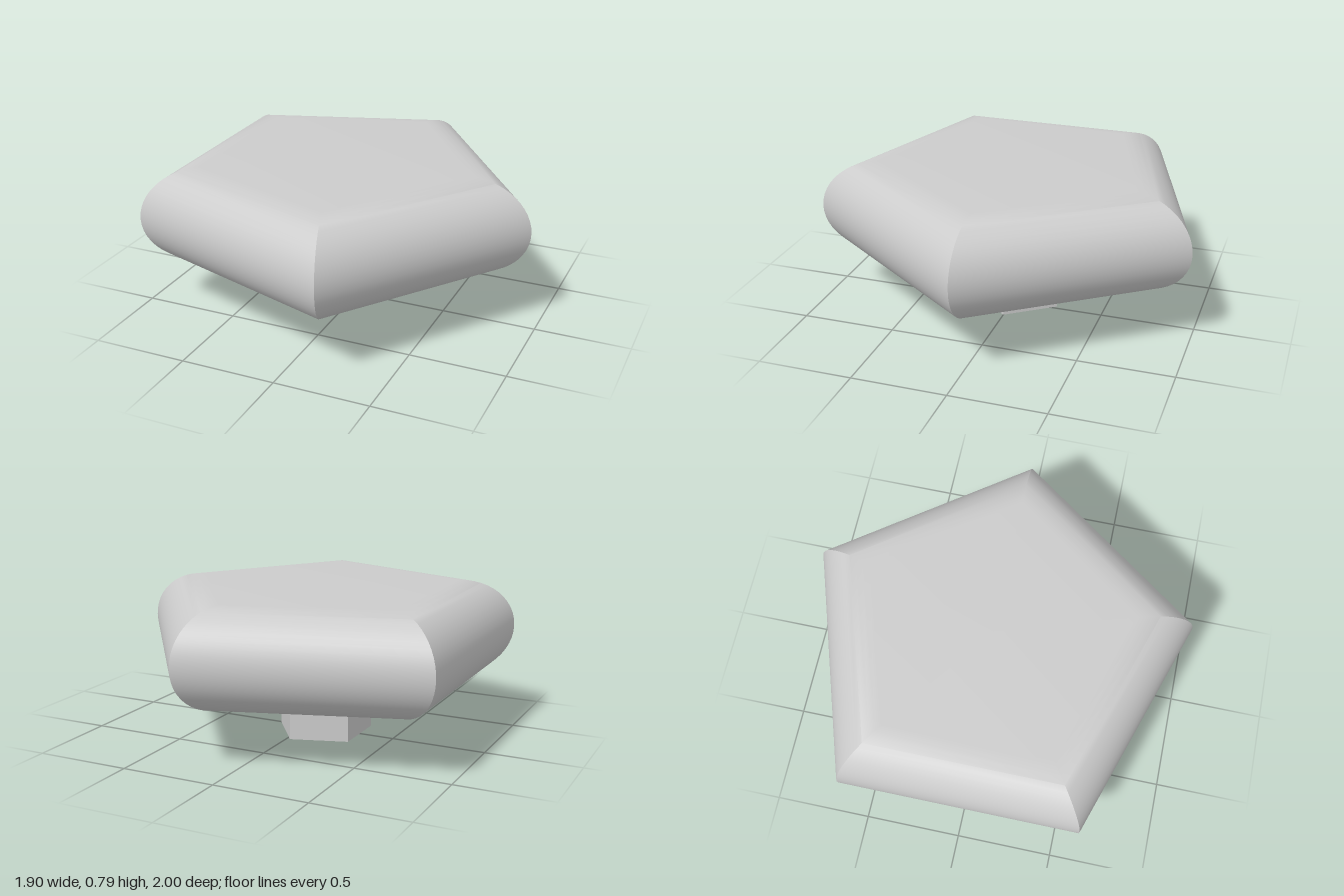
import * as THREE from 'three';
import { toCreasedNormals } from 'three/addons/utils/BufferGeometryUtils.js';

const SIDES = 5;
const CENTRE_X = -0.1;

// Five-sided lathe with one corner pointing to +x; corners stay sharp, curves smooth
function pentagonLathe(name, points, material) {
  const lathe = new THREE.LatheGeometry(points, SIDES, Math.PI / 2);
  const mesh = new THREE.Mesh(toCreasedNormals(lathe, 0.5), material);
  mesh.name = name;
  mesh.position.x = CENTRE_X;
  return mesh;
}

export function createModel() {
  const group = new THREE.Group();
  group.name = 'pentagonKnob';
  const material = new THREE.MeshStandardMaterial({ color: 0xcccccc, side: THREE.DoubleSide });

  const stemRadius = 0.26;
  const half = 0.26; // half thickness of the cap
  const midY = 0.53;
  const rim = half / Math.cos(Math.PI / SIDES); // rim depth measured at a corner
  const flatRadius = 1.05 - rim;

  // Cap: underside with the stem opening, half-round rim, closed flat top
  const capProfile = [new THREE.Vector2(stemRadius, midY - half)];
  const steps = 24;
  for (let i = 0; i <= steps; i++) {
    const a = -Math.PI / 2 + (Math.PI * i) / steps;
    capProfile.push(new THREE.Vector2(flatRadius + rim * Math.cos(a), midY + half * Math.sin(a)));
  }
  capProfile.push(new THREE.Vector2(0, midY + half));
  group.add(pentagonLathe('cap', capProfile, material));

  // Stem: hollow tube, open at the bottom
  const stemProfile = [new THREE.Vector2(stemRadius, 0), new THREE.Vector2(stemRadius, midY - half)];
  group.add(pentagonLathe('stem', stemProfile, material));

  return group;
}
